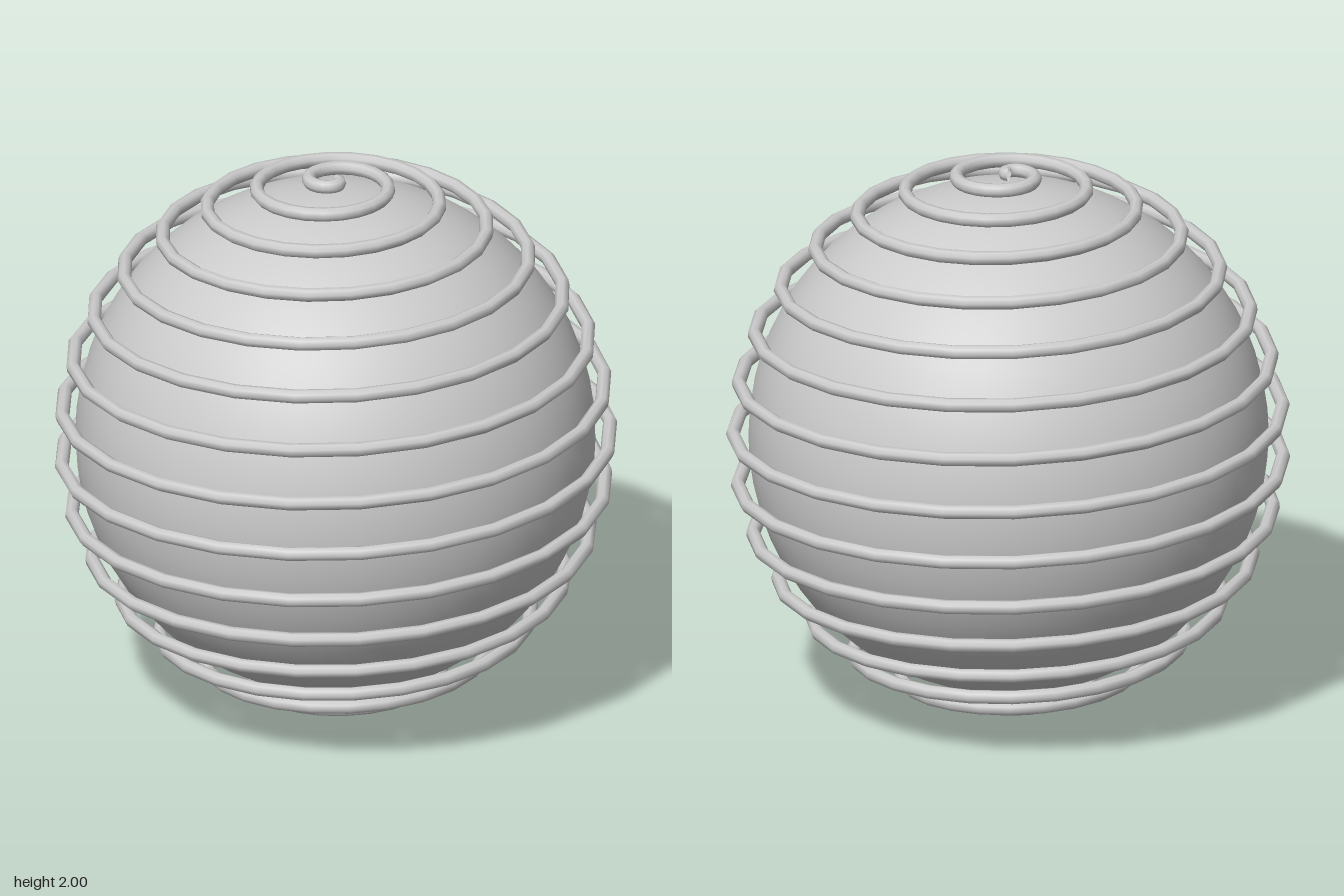
import * as THREE from 'three';

const TURNS = 16;
const STEPS_PER_TURN = 24;
const SPIRAL_RADIUS = 0.975;
const WIRE_RADIUS = 0.025;
const BALL_RADIUS = 0.92;

// Spiral from the top pole to the bottom pole, sampled at even angles
class SphereSpiral extends THREE.Curve {
  getPoint(t, target = new THREE.Vector3()) {
    return target.setFromSphericalCoords(
      SPIRAL_RADIUS, Math.PI * t, Math.PI / 2 - 2 * Math.PI * TURNS * t);
  }
  getPointAt(u, target) { return this.getPoint(u, target); }
  getTangentAt(u, target) { return this.getTangent(u, target); }
}

export function createModel() {
  const group = new THREE.Group();
  group.name = 'spiralWrappedBall';

  // Inner ball
  const ball = new THREE.Mesh(
    new THREE.SphereGeometry(BALL_RADIUS, 48, 32),
    new THREE.MeshStandardMaterial({ color: 0xcccccc }));
  ball.name = 'ball';
  ball.position.y = 1;

  // Wire wound around the ball, open at both ends
  const wire = new THREE.Mesh(
    new THREE.TubeGeometry(new SphereSpiral(), TURNS * STEPS_PER_TURN, WIRE_RADIUS, 8, false),
    new THREE.MeshStandardMaterial({ color: 0xcccccc, side: THREE.DoubleSide }));
  wire.name = 'spiralWire';
  wire.position.y = 1;

  group.add(ball, wire);
  return group;
}
